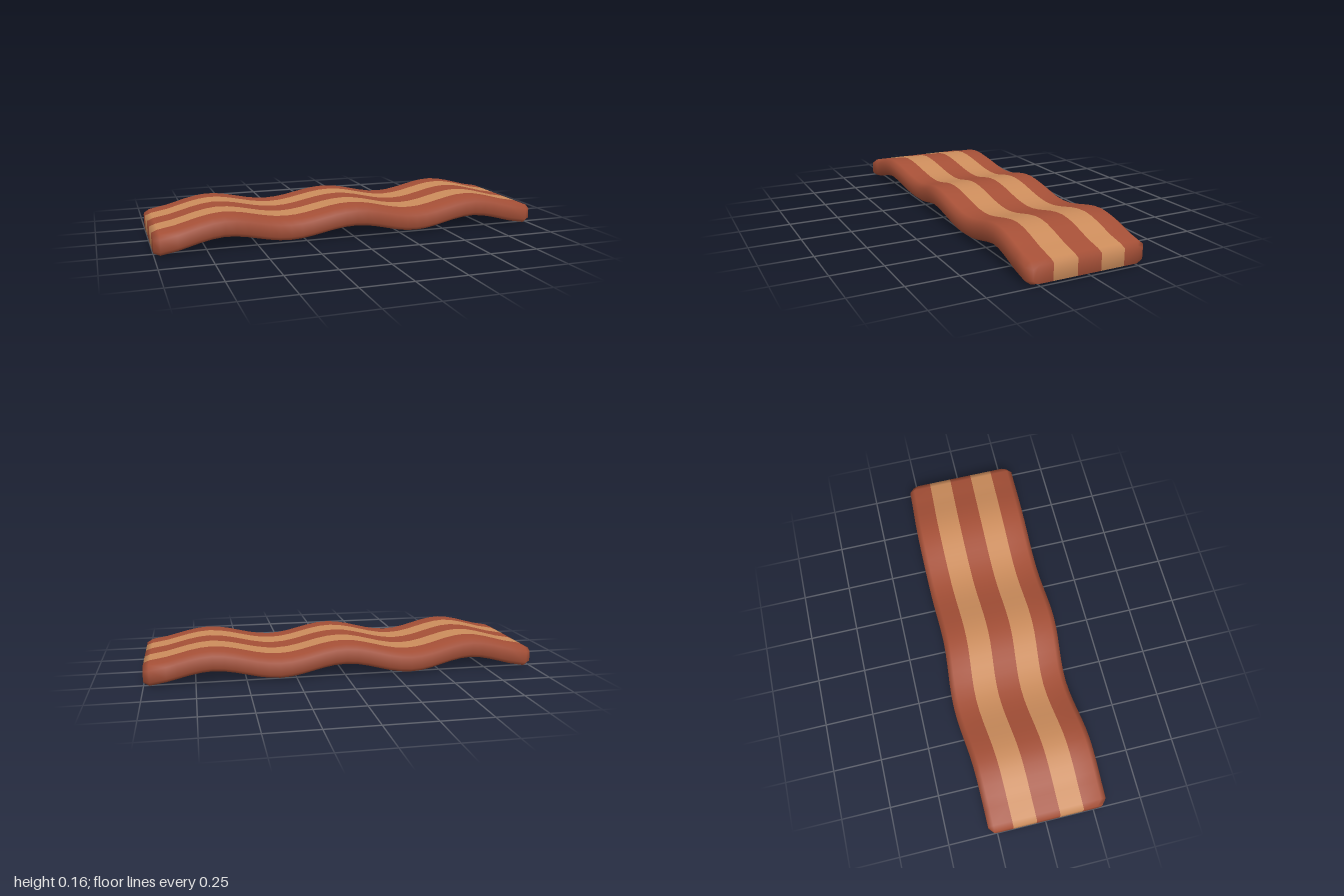
import * as THREE from 'three';

const lean = new THREE.MeshStandardMaterial({ name: 'lean red', color: 0xa65037 });
const fat = new THREE.MeshStandardMaterial({ name: 'fat tan', color: 0xcd8d5c });

// Sideways sway along the strip, sampled evenly from x = -1 to x = 1
const sway = new THREE.SplineCurve(
  [0.012, 0.007, -0.022, 0.002, -0.006, -0.005, 0.008].map((z, i) => new THREE.Vector2(i / 3 - 1, z)));

// Three waves along the length, with slightly drooping ends
function waveHeight(x) {
  const droop = Math.max(0, (Math.abs(x) - 2 / 3) * 3) * (x < 0 ? 0.013 : 0.009);
  return 0.091 + 0.026 * Math.cos(3 * Math.PI * x) - droop;
}

// Bevelled cross-section [z, y]: top, front side, bottom, back side
function section(inset) {
  const top = [-0.275 + inset, -0.18, -0.06, 0.06, 0.18, 0.275 - inset];
  const h = 0.051 - inset * 0.4, s = 0.03 - inset * 0.2, w = 0.302 - inset;
  return [
    ...top.map(z => [z, h]), [w, s], [w, -s],
    ...top.map(z => [-z, -h]), [-w, -s], [-w, s],
  ];
}

export function createModel() {
  const group = new THREE.Group();
  group.name = 'baconStrip';

  // Cross-sections from end to end; the outermost pair is inset to bevel the ends
  const stations = [-1, -0.97];
  for (let i = -16; i <= 16; i++) stations.push(i / 18);
  stations.push(0.97, 1);

  const positions = [];
  for (const x of stations) {
    const shift = sway.getPoint((x + 1) / 2).y;
    for (const [z, y] of section(Math.abs(x) === 1 ? 0.025 : 0)) {
      positions.push(x, waveHeight(x) + y, z + shift);
    }
  }

  const leanFaces = [], fatFaces = [];
  const quad = (isFat, a, b, c, d) => (isFat ? fatFaces : leanFaces).push(a, b, c, a, c, d);
  const n = 16, last = stations.length - 1;

  // Skin between neighbouring cross-sections
  for (let j = 0; j < last; j++) {
    for (let i = 0; i < n; i++) {
      const k = (i + 1) % n, a = j * n, b = a + n;
      quad([1, 3, 9, 11].includes(i), a + i, a + k, b + k, b + i);
    }
  }

  // End caps, striped like the top
  const capQuads = [[15, 0, 13, 14], [5, 6, 7, 8]];
  for (let i = 0; i < 5; i++) capQuads.push([i, i + 1, 12 - i, 13 - i]);
  for (const q of capQuads) {
    const isFat = q[0] === 1 || q[0] === 3;
    quad(isFat, ...q.map(i => last * n + i));
    quad(isFat, ...q.slice().reverse());
  }

  // Shared smooth normals so shading runs across the stripes
  const whole = new THREE.BufferGeometry();
  whole.setAttribute('position', new THREE.Float32BufferAttribute(positions, 3));
  whole.setIndex([...leanFaces, ...fatFaces]);
  whole.computeVertexNormals();

  const addPart = (name, faces, material) => {
    const geometry = new THREE.BufferGeometry();
    geometry.setAttribute('position', whole.getAttribute('position'));
    geometry.setAttribute('normal', whole.getAttribute('normal'));
    geometry.setIndex(faces);
    const mesh = new THREE.Mesh(geometry, material);
    mesh.name = name;
    group.add(mesh);
  };
  addPart('leanMeat', leanFaces, lean);
  addPart('fatStripes', fatFaces, fat);
  return group;
}
